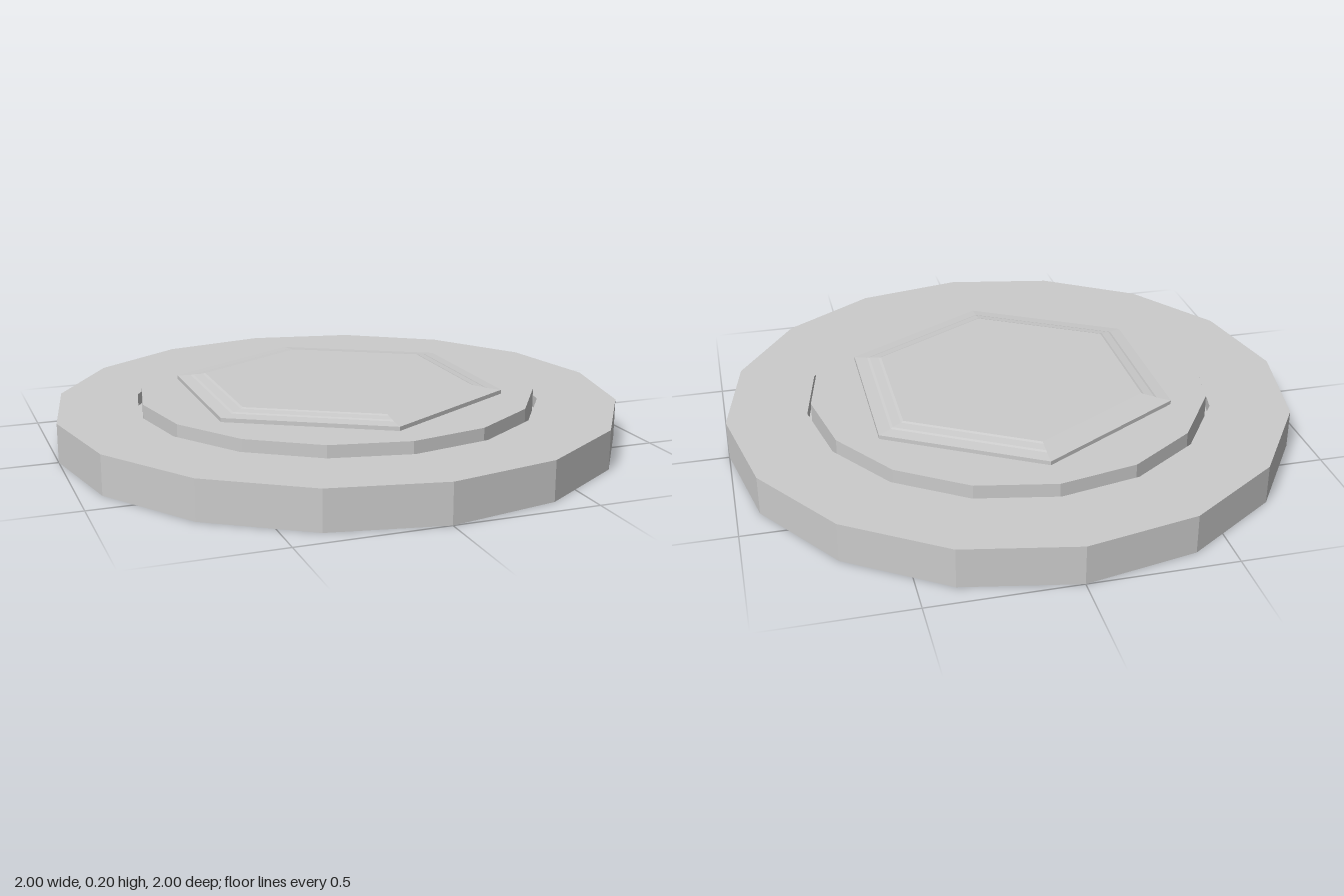
import * as THREE from 'three';

// Faceted ring surface: a profile of [radius, height] swept with few sides
function facetedLathe(name, profile, sides) {
  const points = profile.map(([r, y]) => new THREE.Vector2(r, y));
  const geometry = new THREE.LatheGeometry(points, sides).toNonIndexed();
  geometry.computeVertexNormals();
  const material = new THREE.MeshStandardMaterial({
    color: 0xcccccc, flatShading: true, side: THREE.DoubleSide,
  });
  const mesh = new THREE.Mesh(geometry, material);
  mesh.name = name;
  return mesh;
}

export function createModel() {
  const group = new THREE.Group();
  group.name = 'steppedPad';

  // Hollow base: outer wall, deck, narrow groove, raised centre disc
  group.add(facetedLathe('base', [
    [1, 0], [1, 0.137], [0.72, 0.137], [0.72, 0.094],
    [0.705, 0.094], [0.705, 0.175], [0, 0.175],
  ], 16));

  // Hexagonal plate with a low rim and a bevelled top, points towards +z and -z
  group.add(facetedLathe('hexPlate', [
    [0.59, 0.175], [0.59, 0.189], [0.54, 0.193], [0.53, 0.196],
    [0.495, 0.2], [0.485, 0.203], [0, 0.203],
  ], 6));

  return group;
}
